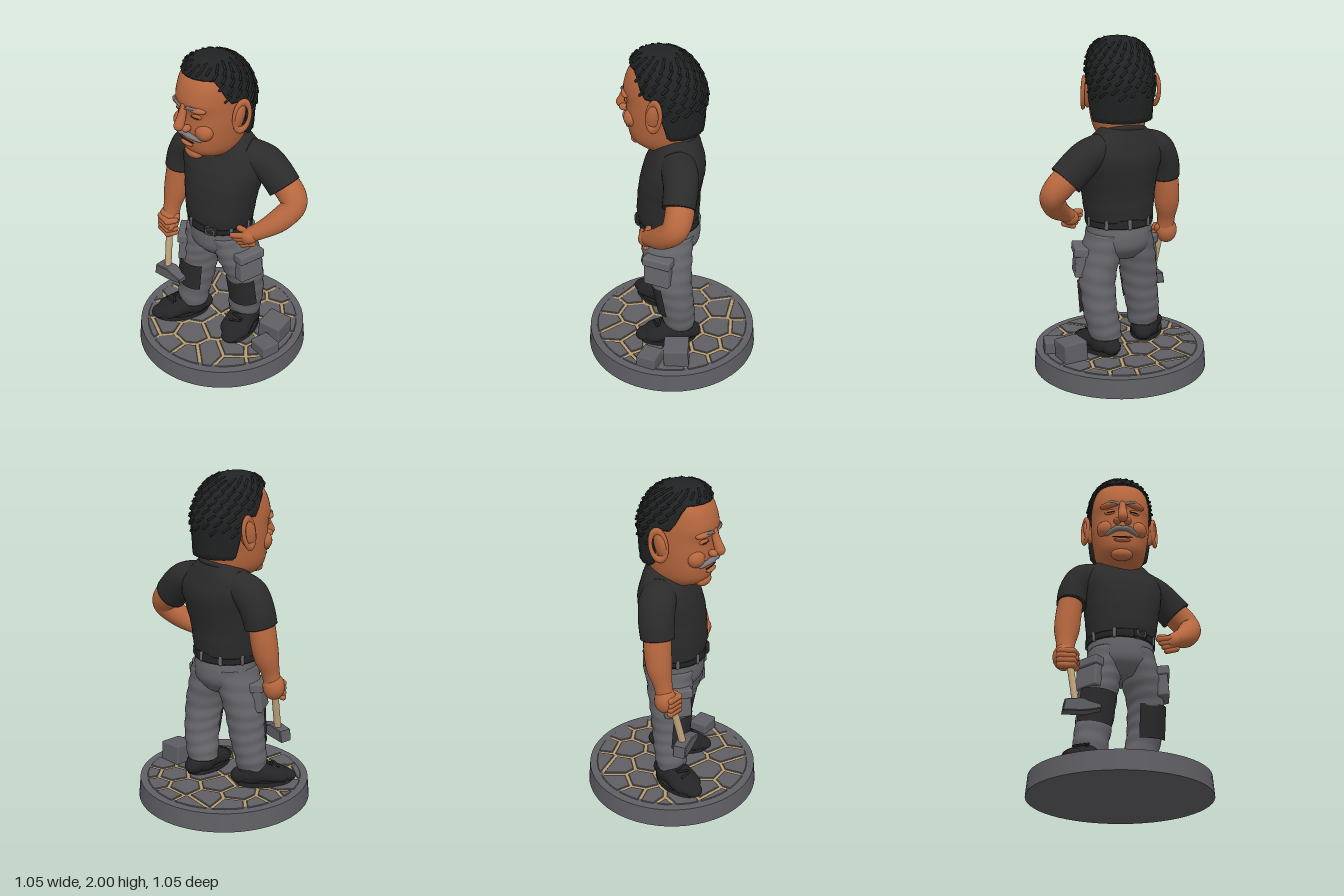
import * as THREE from 'three';
import { RoundedBoxGeometry } from 'three/addons/geometries/RoundedBoxGeometry.js';

const paint = (name, color, side = THREE.FrontSide) => {
  const m = new THREE.MeshStandardMaterial({ color, side });
  m.name = name;
  return m;
};
const V = (x, y, z) => new THREE.Vector3(x, y, z);
const clamp = THREE.MathUtils.clamp, smooth = THREE.MathUtils.smoothstep;

// Catmull-Rom sample through rows of numbers
function sample(rows, t) {
  const n = rows.length - 1, f = t * n, i = Math.min(n - 1, Math.floor(f)), u = f - i;
  const [a, b, c, d] = [-1, 0, 1, 2].map(k => rows[clamp(i + k, 0, n)]);
  return b.map((_, k) => b[k] + 0.5 * u * (c[k] - a[k] + u * (2 * a[k] - 5 * b[k] + 4 * c[k] - d[k]
    + u * (3 * (b[k] - c[k]) + d[k] - a[k]))));
}

// Closed skin over a stack of rings
function skinRings(rings) {
  const n = rings[0].length, m = rings.length, pos = [], idx = [];
  rings.flat().forEach(p => pos.push(p.x, p.y, p.z));
  for (const r of [rings[0], rings[m - 1]]) {
    const c = r.reduce((s, p) => s.add(p), V(0, 0, 0)).divideScalar(n);
    pos.push(c.x, c.y, c.z);
  }
  for (let j = 0; j < n; j++) {
    const k = (j + 1) % n;
    for (let i = 0; i < m - 1; i++) {
      const a = i * n + j, b = i * n + k;
      idx.push(a, a + n, b, b, a + n, b + n);
    }
    idx.push(m * n, j, k, m * n + 1, (m - 1) * n + k, (m - 1) * n + j);
  }
  const g = new THREE.BufferGeometry();
  g.setAttribute('position', new THREE.Float32BufferAttribute(pos, 3));
  g.setIndex(idx);
  g.computeVertexNormals();
  return g;
}

// Rows are [x, y, z, radiusA, radiusB, yaw]; flat keeps every ring level
function sweep(rows, { flat = false, round = false, ref = V(0, 0, 1), e = 1, fold = 0, seg = 28, steps = 28 } = {}) {
  const rings = [];
  const ring = (c, s, b, ra, rb, wave = 0) => rings.push(Array.from({ length: seg }, (_, j) => {
    const a = j / seg * Math.PI * 2, co = Math.cos(a), si = Math.sin(a);
    const k = 1 + fold * Math.sin(wave + 1.5 * Math.sin(a + wave * 0.1));
    return c.clone().addScaledVector(s, Math.sign(co) * Math.abs(co) ** e * ra * k)
      .addScaledVector(b, Math.sign(si) * Math.abs(si) ** e * rb * k);
  }));
  for (let i = 0; i <= steps; i++) {
    const t = i / steps, [x, y, z, ra, rb, yaw = 0] = sample(rows, t), c = V(x, y, z);
    const d = flat ? V(0, 1, 0) : V(...sample(rows, Math.min(1, t + 0.02))).sub(V(...sample(rows, Math.max(0, t - 0.02)))).normalize();
    const s = flat ? V(Math.cos(yaw), 0, -Math.sin(yaw)) : d.clone().cross(ref).normalize();
    const b = s.clone().cross(d);
    const cap = q => ring(c.clone().addScaledVector(d, q * ra), s, b, ra * Math.sqrt(1 - q * q), rb * Math.sqrt(1 - q * q));
    if (round && i === 0) [-0.98, -0.8, -0.45].forEach(cap);
    ring(c, s, b, ra, rb, y * 75);
    if (round && i === steps) [0.45, 0.8, 0.98].forEach(cap);
  }
  return skinRings(rings);
}

// Point on the hair dome at angle phi and height y
function hairPoint(phi, y, grow = 1) {
  const t = clamp((y - 1.75) / 0.248, 0, 1);
  const s = Math.pow(1 - t ** 2.6, 1 / 2.6) * (1 - 0.35 * Math.max(0, 1.75 - y)) * grow;
  return V(0.2 * s * Math.cos(phi), y, 0.015 + 0.25 * Math.max(0, y - 1.75) + 0.215 * s * Math.sin(phi));
}
function hairLine(phi) {
  const a = Math.acos(clamp(Math.sin(phi), -1, 1));
  return 1.91 - 0.14 * smooth(a, 0.9, 1.25) - 0.24 * smooth(a, 1.5, 1.85);
}

export function createModel() {
  const root = new THREE.Group();
  root.name = 'workman';
  const skin = paint('skin', 0xb8683f), hair = paint('hair', 0x212223), grey = paint('greyHair', 0x7b7a7c);
  const shirt = paint('shirt', 0x2b2b2c), cloth = paint('trousers', 0x66666b);
  const black = paint('blackLeather', 0x242426), pad = paint('kneePad', 0x2a2a2c, THREE.DoubleSide);
  const stone = paint('stone', 0x5e5e64), mortar = paint('mortar', 0xb99c6c), wood = paint('wood', 0xc0a47c);

  const add = (name, geo, mat, parent = root, p = [0, 0, 0], r = [0, 0, 0], s = [1, 1, 1]) => {
    const m = new THREE.Mesh(geo, mat);
    m.name = name;
    m.position.set(...p); m.rotation.set(...r); m.scale.set(...s);
    parent.add(m);
    return m;
  };
  const group = (name, p, yaw) => {
    const g = new THREE.Group();
    g.name = name; g.position.set(...p); g.rotation.y = yaw;
    root.add(g);
    return g;
  };
  const ball = (name, mat, parent, p, s, r) => add(name, new THREE.SphereGeometry(1, 20, 14), mat, parent, p, r, s);
  const box = (name, mat, size, p, r, parent) => add(name, new RoundedBoxGeometry(...size, 2, 0.01), mat, parent, p, r);
  const finger = (name, a, b, r) => add(name, sweep([[...a, r, r], [...b, r * 0.9, r * 0.9]], { round: true, seg: 10, steps: 3 }), skin);

  // Round base with mortar and a rim
  add('base', new THREE.CylinderGeometry(0.517, 0.527, 0.116, 56), stone, root, [0, 0.058, 0]);
  add('mortar', new THREE.CylinderGeometry(0.46, 0.46, 0.004, 48), mortar, root, [0, 0.1155, 0]);
  add('rim', new THREE.RingGeometry(0.455, 0.517, 56), stone, root, [0, 0.1195, 0], [-Math.PI / 2, 0, 0]);

  // Paving: each stone is the area nearest to its seed, cut back for the joint
  const seeds = [[-.36, -.2], [-.2, -.27], [-.2, -.41], [0, -.3], [-.02, -.45], [.13, -.42], [.18, -.26], [.29, -.37], [.35, -.23],
    [-.28, -.1], [-.44, -.08], [-.43, .05], [-.36, .2], [-.46, .14], [-.25, .41], [-.2, .31], [-.07, .42], [.09, .42],
    [.19, .3], [.26, .19], [.34, .28], [.39, .08], [.46, .14], [-.1, -.12], [.08, -.1], [.25, -.08], [.42, -.09],
    [-.14, .06], [.06, .08], [.23, .05], [-.24, .17], [-.04, .25]];
  for (const s of seeds) {
    let poly = Array.from({ length: 40 }, (_, i) => [0.47 * Math.cos(i * Math.PI / 20), 0.47 * Math.sin(i * Math.PI / 20)]);
    for (const o of seeds) {
      if (o === s) continue;
      const dx = o[0] - s[0], dz = o[1] - s[1], len = Math.hypot(dx, dz);
      const out = p => ((p[0] - s[0]) * dx + (p[1] - s[1]) * dz) / len - len / 2 + 0.014;
      poly = poly.flatMap((p, i) => {
        const q = poly[(i + 1) % poly.length], a = out(p), b = out(q), keep = a <= 0 ? [p] : [];
        if (a * b < 0) keep.push([p[0] + (q[0] - p[0]) * a / (a - b), p[1] + (q[1] - p[1]) * a / (a - b)]);
        return keep;
      });
    }
    if (poly.length < 3) continue;
    const shape = new THREE.Shape(poly.map(p => new THREE.Vector2(p[0], -p[1])));
    add('pavingStone', new THREE.ExtrudeGeometry(shape, { depth: 0.008, bevelSize: 0.004, bevelThickness: 0.004, bevelSegments: 1 }),
      stone, root, [0, 0.112, 0], [-Math.PI / 2, 0, 0]);
  }
  box('looseStoneTall', stone, [0.15, 0.125, 0.15], [0.35, 0.175, -0.105], [0.05, 0.15, -0.05]);
  box('looseStoneLow', stone, [0.13, 0.08, 0.12], [0.405, 0.15, 0.05], [0, -0.2, 0.03]);

  // Trousers
  add('hips', sweep([[0, .7, .01, .11, .11], [0, .77, .01, .185, .17], [0, .85, .012, .198, .182], [0, .95, .02, .192, .172]], { flat: true }), cloth);
  add('rightLeg', sweep([[-.18, .22, .075, .094, .09], [-.18, .28, .07, .1, .097], [-.165, .38, .06, .105, .105], [-.15, .48, .055, .109, .113],
    [-.14, .58, .05, .113, .124], [-.115, .72, .035, .112, .14], [-.1, .86, .02, .095, .15]], { flat: true, fold: 0.022, steps: 48 }), cloth);
  add('leftLeg', sweep([[.12, .22, -.075, .096, .094], [.13, .28, -.07, .102, .101], [.15, .38, -.06, .102, .109], [.155, .48, -.045, .105, .115],
    [.155, .58, -.025, .109, .128], [.125, .72, 0, .114, .15], [.1, .86, .01, .095, .16]], { flat: true, fold: 0.022, steps: 48 }), cloth);
  for (const [name, p, yaw, k] of [['left', [.243, .68, .03], -0.2, 1], ['right', [-.195, .68, .115], 0.65, -1]]) {
    box(name + 'CargoPocket', cloth, [.07, .17, .16], p, [0, yaw, 0.08 * k]);
    box(name + 'PocketFlap', cloth, [.085, .055, .175], [p[0], .75, p[2]], [0, yaw, 0.08 * k]);
  }
  const kneePad = (name, p, r, start, len) => add(name, new THREE.CylinderGeometry(0.121, 0.118, 0.2, 20, 4, true, start, len), pad, root, p, r);
  kneePad('rightKneePad', [-.15, .485, .058], [0.02, 0, -0.12], -1.1, 2.0);
  kneePad('leftKneePad', [.155, .468, -.045], [0.17, 0, 0], -0.45, 1.7);

  // Belt with loops and buckle
  add('belt', sweep([[0, .903, .018, .203, .187], [0, .93, .02, .203, .185], [0, .955, .02, .2, .183]], { flat: true, steps: 6, seg: 40 }), black);
  for (let i = 0; i < 9; i++) {
    const a = 0.35 + i * Math.PI * 2 / 9;
    box('beltLoop', cloth, [.022, .062, .022], [.2 * Math.sin(a), .928, .019 + .183 * Math.cos(a)], [0, a, 0]);
  }
  box('buckle', black, [.08, .055, .022], [.085, .929, .19], [0, 0.35, 0]);
  add('buckleFrame', new THREE.TorusGeometry(0.02, 0.004, 8, 20), cloth, root, [.089, .929, .202], [0, 0.35, 0], [1.4, 1, 1]);

  // Boots
  for (const [name, p, yaw] of [['rightBoot', [-.205, 0, .095], -0.5], ['leftBoot', [.14, 0, -.05], 0.28]]) {
    const g = group(name, p, yaw);
    add('upper', sweep([[0, .175, -.1, .06, .05], [0, .185, -.05, .085, .065], [0, .19, .02, .088, .07], [0, .178, .09, .094, .056],
      [0, .165, .15, .09, .045], [0, .158, .185, .06, .034]], { round: true, ref: V(0, 1, 0) }), black, g);
    add('shaft', sweep([[0, .15, -.03, .085, .09], [0, .22, -.03, .082, .085], [0, .265, -.025, .08, .08]], { flat: true, steps: 6 }), black, g);
    add('sole', new THREE.CylinderGeometry(1, 1, 0.03, 32), black, g, [0, .135, .045], [0, 0, 0], [.098, 1, .175]);
    for (let i = 0; i < 4; i++) box('lace', black, [.08, .012, .014], [0, .262 - i * .011, .04 + i * .027], [0.4, i % 2 ? 0.25 : -0.25, 0], g);
  }

  // Shirt
  add('shirtBody', sweep([[0, .94, .02, .2, .178, 0], [.003, 1.0, .02, .208, .184, 0], [.006, 1.1, .015, .22, .184, .08], [.01, 1.2, 0, .235, .186, .14],
    [.005, 1.3, -.02, .255, .178, .2], [0, 1.38, -.03, .245, .15, .2], [0, 1.445, -.035, .18, .125, .15], [0, 1.495, -.045, .125, .095, .1]],
  { flat: true, e: 0.88, seg: 40, fold: 0.004 }), shirt);
  add('collar', new THREE.TorusGeometry(0.125, 0.017, 10, 36), shirt, root, [0, 1.452, -.02], [-Math.PI / 2 + 0.38, 0, 0], [1.08, 0.95, 1]);
  add('rightSleeve', sweep([[-.14, 1.37, -.01, .09, .1], [-.235, 1.335, .01, .096, .108], [-.285, 1.25, .025, .092, .104], [-.302, 1.155, .04, .088, .1]]), shirt);
  add('leftSleeve', sweep([[.14, 1.375, -.06, .09, .1], [.235, 1.345, -.1, .098, .103], [.3, 1.295, -.115, .104, .098], [.375, 1.22, -.12, .106, .094]]), shirt);

  // Right arm and fist
  add('rightArm', sweep([[-.295, 1.24, .04, .07, .075], [-.315, 1.1, .045, .076, .08], [-.327, .98, .06, .074, .074], [-.335, .88, .085, .055, .055],
    [-.338, .81, .1, .052, .052]], { round: true }), skin);
  ball('rightPalm', skin, root, [-.345, .785, .105], [.066, .08, .065]);
  for (let i = 0; i < 4; i++) {
    const y = .805 - i * .029;
    finger('rightFinger', [-.375, y, .15], [-.3, y - .005, .17], .021);
    finger('rightFingertip', [-.3, y - .005, .17], [-.275, y - .005, .125], .02);
  }
  finger('rightThumb', [-.29, .81, .1], [-.285, .76, .16], .023);

  // Left arm with hand on hip
  add('leftArm', sweep([[.32, 1.27, -.12, .08, .08], [.41, 1.195, -.13, .082, .082], [.452, 1.125, -.11, .072, .076], [.41, 1.045, -.035, .068, .068],
    [.345, .985, .04, .052, .052], [.3, .955, .075, .045, .045]], { round: true, steps: 40 }), skin);
  ball('leftPalm', skin, root, [.29, .94, .085], [.06, .048, .05], [0, 0, 0.5]);
  for (let i = 0; i < 4; i++) finger('leftFinger', [.285 + i * .012, .955 - i * .018, .115 - i * .01], [.205 + i * .018, .93 - i * .019, .135 - i * .01], .019);
  finger('leftThumb', [.28, .965, .09], [.22, .965, .09], .02);

  // Hammer
  add('hammerHandle', sweep([[-.328, .85, .115, .021, .021], [-.305, .65, .155, .02, .022], [-.283, .45, .195, .019, .022]], { seg: 16, steps: 8 }), wood);
  const head2d = new THREE.Shape([[-.355, .42], [-.345, .48], [-.25, .492], [-.215, .478], [-.15, .462], [-.15, .445], [-.215, .43], [-.25, .425]]
    .map(p => new THREE.Vector2(...p)));
  add('hammerHead', new THREE.ExtrudeGeometry(head2d, { depth: 0.07, bevelSize: 0.005, bevelThickness: 0.005, bevelSegments: 1 }), stone, root, [0, 0, .16]);

  // Head, turned slightly
  const h = group('head', [-.005, 0, 0], -0.11);
  const rows = [[1.34, -.12, .07, .115], [1.39, -.125, .13, .095], [1.42, -.125, .2, .115], [1.46, -.125, .24, .14], [1.52, -.13, .255, .158], [1.62, -.15, .262, .173],
    [1.7, -.16, .262, .178], [1.76, -.165, .278, .178], [1.82, -.16, .268, .177], [1.88, -.12, .243, .165], [1.93, -.09, .2, .135], [1.96, -.04, .14, .08]]
    .map(([y, b, f, w]) => [0, y, (b + f) / 2, w, (f - b) / 2]);
  add('face', sweep(rows, { flat: true, e: 0.9, seg: 40, steps: 44 }), skin, h);
  add('nose', sweep([[0, 1.745, .268, .02, .018], [0, 1.69, .285, .023, .025], [0, 1.635, .306, .031, .03]], { round: true, ref: V(1, 0, 0) }), skin, h);
  ball('chin', skin, h, [0, 1.435, .205], [.065, .038, .04]);
  ball('lowerLip', skin, h, [0, 1.508, .253], [.05, .013, .018]);
  ball('mouthLine', hair, h, [0, 1.528, .253], [.06, .004, .008]);
  for (const k of [-1, 1]) {
    ball('nostril', skin, h, [k * .032, 1.622, .28], [.022, .021, .028]);
    ball('cheek', skin, h, [k * .092, 1.6, .205], [.058, .055, .05]);
    ball('browRidge', skin, h, [k * .07, 1.745, .245], [.065, .022, .032], [0, k * 0.3, k * -0.1]);
    ball('eyelid', skin, h, [k * .07, 1.7, .238], [.036, .021, .02], [0, k * 0.3, 0]);
    ball('eyeSlit', hair, h, [k * .07, 1.696, .2545], [.027, .0045, .005], [0, k * 0.25, k * -0.1]);
    add('eyebrow', sweep([[k * .025, 1.742, .279, .007, .006], [k * .07, 1.757, .274, .009, .006], [k * .125, 1.74, .233, .005, .005]], { round: true, seg: 10, steps: 8 }), grey, h);
    add('moustache', sweep([[0, 1.577, .27, .014, .016], [k * .04, 1.574, .268, .017, .017], [k * .092, 1.55, .235, .009, .01]], { round: true, seg: 14, steps: 10 }), grey, h);
    // Ear with raised rim
    ball('ear', skin, h, [k * .195, 1.675, .04], [.026, .085, .045], [-0.15, k * 0.35, k * -0.12]);
    add('earRim', new THREE.TorusGeometry(0.045, 0.012, 8, 24), skin, h, [k * .212, 1.685, .035], [-0.15, Math.PI / 2 + k * -0.35, 0], [1, 1.85, 1]);
  }

  // Hair cap following the hairline, with short tufts
  const rings = [];
  for (let i = -1; i <= 24; i++) {
    rings.push(Array.from({ length: 56 }, (_, j) => {
      const phi = j / 56 * Math.PI * 2, hl = hairLine(phi), v = Math.max(0, i) / 24;
      const y = hl + (1.996 - hl) * Math.sin(v * Math.PI / 2);
      return hairPoint(phi, y, i < 0 ? 0.84 : 1 + 0.012 * Math.sin(j * 2.3 + i * 1.9));
    }));
  }
  add('hairCap', skinRings(rings), hair, h);
  for (let i = 0; i < 150; i++) {
    const phi = i * 2.4, y = 1.985 - 0.3 * (i / 150) ** 1.3;
    if (y - 0.03 < hairLine(phi)) continue;
    const a = hairPoint(phi, y, 1.015), b = hairPoint(phi + 0.16, y - 0.025, 1.02);
    add('hairTuft', sweep([[...a, .006, .006], [...b, .008, .008]], { round: true, seg: 6, steps: 2 }), hair, h);
  }
  return root;
}
